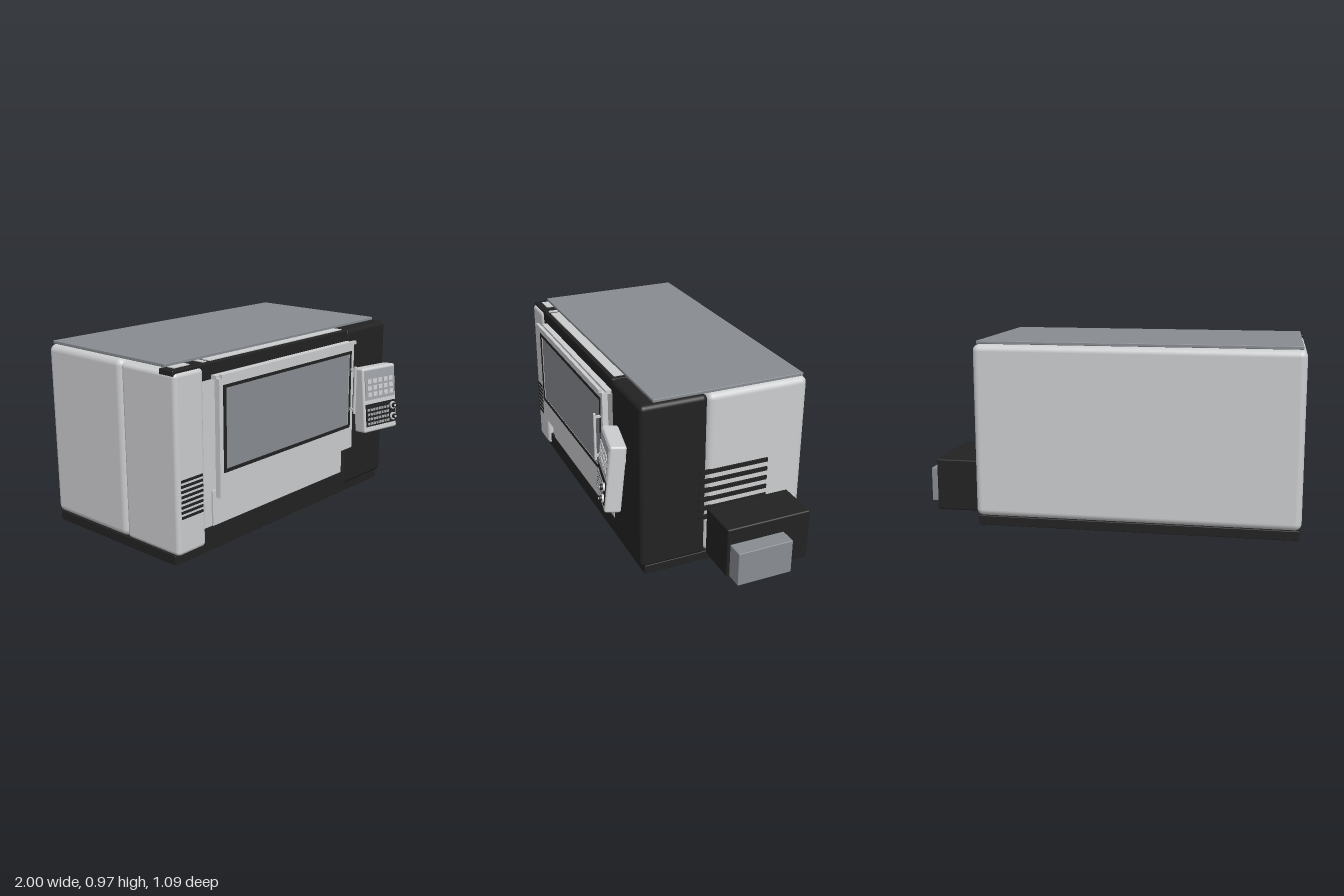
import * as THREE from 'three';
import { RoundedBoxGeometry } from 'three/addons/geometries/RoundedBoxGeometry.js';

const mat = (name, color) => {
  const m = new THREE.MeshStandardMaterial({ color });
  m.name = name;
  return m;
};

export function createModel() {
  const light = mat('light grey paint', 0xcbccce);
  const dark = mat('charcoal paint', 0x222222);
  const grey = mat('slate grey', 0x888c91);
  const screenGrey = mat('screen grey', 0x9fa3a8);

  const model = new THREE.Group();
  model.name = 'machiningCentre';

  // Box given by its extents; r > 0 rounds the edges
  const box = (name, m, x0, x1, y0, y1, z0, z1, r = 0, parent = model) => {
    const w = x1 - x0, h = y1 - y0, d = z1 - z0;
    const geo = r ? new RoundedBoxGeometry(w, h, d, 4, r) : new THREE.BoxGeometry(w, h, d);
    const mesh = new THREE.Mesh(geo, m);
    mesh.position.set((x0 + x1) / 2, (y0 + y1) / 2, (z0 + z1) / 2);
    mesh.name = name;
    parent.add(mesh);
    return mesh;
  };

  // Base, enclosure and roof
  box('base', dark, -0.99, 0.66, 0, 0.05, -0.52, 0.355, 0.004);
  box('rearEnclosure', light, -1, 0.672, 0.05, 0.948, -0.533, 0.023, 0.035);
  box('frontLeftColumn', dark, 0.295, 0.674, 0.05, 0.948, 0.025, 0.38, 0.025);
  box('frontRightColumn', light, -1, -0.815, 0.055, 0.935, 0.025, 0.39, 0.022);
  box('core', light, -0.83, 0.31, 0.052, 0.945, -0.02, 0.345);
  box('roof', grey, -0.98, 0.652, 0.95, 0.966, -0.513, 0.305, 0.003);

  // Front frame and fixed panels
  box('topBeam', dark, -0.998, 0.31, 0.866, 0.948, 0.285, 0.378, 0.006);
  box('bottomBeam', dark, -0.82, 0.31, 0.052, 0.13, 0.3, 0.374);
  box('frontPanel', light, -0.808, 0.29, 0.13, 0.866, 0.33, 0.362);
  box('lowerPanel', light, -0.75, 0.287, 0.132, 0.31, 0.36, 0.372);
  box('beamTopStrip', light, -0.745, 0.283, 0.946, 0.952, 0.295, 0.357);
  box('beamTopPatch', light, -0.96, -0.86, 0.946, 0.952, 0.295, 0.345);
  box('beamTopTab', light, -0.79, -0.765, 0.946, 0.952, 0.295, 0.357);

  // Sliding door, built as a ring around the window
  const door = new THREE.Group();
  door.name = 'slidingDoor';
  model.add(door);
  const rect = (P, x0, x1, y0, y1) => new P([
    new THREE.Vector2(x0, y0), new THREE.Vector2(x1, y0),
    new THREE.Vector2(x1, y1), new THREE.Vector2(x0, y1)]);
  const ring = (name, m, o, i, z, depth) => {
    const s = rect(THREE.Shape, ...o);
    s.holes.push(rect(THREE.Path, ...i));
    const mesh = new THREE.Mesh(new THREE.ExtrudeGeometry(s, { depth, bevelEnabled: false }), m);
    mesh.position.z = z;
    mesh.name = name;
    door.add(mesh);
  };
  ring('doorPanel', light, [-0.757, 0.302, 0.29, 0.875], [-0.72, 0.265, 0.425, 0.832], 0.4, 0.03);
  ring('windowSeal', dark, [-0.732, 0.276, 0.413, 0.843], [-0.714, 0.264, 0.43, 0.828], 0.43, 0.004);
  box('windowGlass', grey, -0.722, 0.267, 0.423, 0.834, 0.41, 0.425, 0, door);
  box('doorRail', light, -0.757, 0.298, 0.88, 0.898, 0.431, 0.447, 0, door);
  box('doorGuide', light, -0.757, 0.302, 0.868, 0.888, 0.375, 0.41, 0, door);
  box('handleBar', light, 0.266, 0.279, 0.495, 0.762, 0.457, 0.47, 0.004, door);
  for (const y of [0.52, 0.74]) box('handlePost', light, 0.267, 0.278, y - 0.006, y + 0.006, 0.43, 0.46, 0, door);

  // Ventilation slots: front column and side wall
  for (let i = 0; i < 8; i++) {
    const y = 0.246 + i * 0.0255;
    box('frontVent', dark, -0.976, -0.837, y - 0.006, y + 0.006, 0.386, 0.395);
  }
  for (let i = 0; i < 6; i++) {
    const y = 0.271 + i * 0.0517;
    box('sideVent', dark, 0.667, 0.68, y - 0.011, y + 0.011, -0.32, 0.066);
  }

  // Chip conveyor and collecting bin
  box('conveyorHousing', dark, 0.675, 0.91, 0.05, 0.325, -0.447, 0.02, 0.008);
  box('chipBin', grey, 0.9, 1, 0.053, 0.238, -0.298, 0.004, 0.004);

  // Control panel on its arm
  const arm = new THREE.Mesh(new THREE.CylinderGeometry(0.013, 0.013, 0.09, 20), light);
  arm.rotation.x = Math.PI / 2;
  arm.position.set(0.475, 0.575, 0.405);
  arm.name = 'controlArm';
  model.add(arm);

  const panel = new THREE.Group();
  panel.name = 'controlPanel';
  panel.position.set(0.48, 0.547, 0.456);
  panel.rotation.set(-0.1, -0.2, 0, 'YXZ');
  model.add(panel);
  box('controlCase', light, -0.125, 0.125, -0.182, 0.182, -0.042, 0.042, 0.012, panel);
  box('screen', screenGrey, -0.112, 0.112, 0.002, 0.168, 0.04, 0.046, 0, panel);
  box('keyboard', dark, -0.112, 0.112, -0.148, -0.022, 0.04, 0.046, 0, panel);
  for (let r = 0; r < 3; r++) for (let c = 0; c < 5; c++) {
    const x = -0.082 + c * 0.041, y = 0.032 + r * 0.037;
    box('screenKey', light, x - 0.014, x + 0.014, y - 0.012, y + 0.012, 0.045, 0.05, 0, panel);
  }
  for (let r = 0; r < 4; r++) for (let c = 0; c < 8; c++) {
    const x = -0.094 + c * 0.021, y = -0.132 + r * 0.026;
    box('keyboardKey', screenGrey, x - 0.0075, x + 0.0075, y - 0.007, y + 0.007, 0.045, 0.049, 0, panel);
  }
  // Rotary knobs
  for (const y of [-0.052, -0.115]) {
    [[0.021, 0.014, light, 'knobRing'], [0.014, 0.026, dark, 'knob'], [0.007, 0.029, light, 'knobCap']].forEach(([r, h, m, name]) => {
      const k = new THREE.Mesh(new THREE.CylinderGeometry(r, r, h, 20), m);
      k.rotation.x = Math.PI / 2;
      k.position.set(0.09, y, 0.042 + h / 2);
      k.name = name;
      panel.add(k);
    });
  }
  return model;
}
